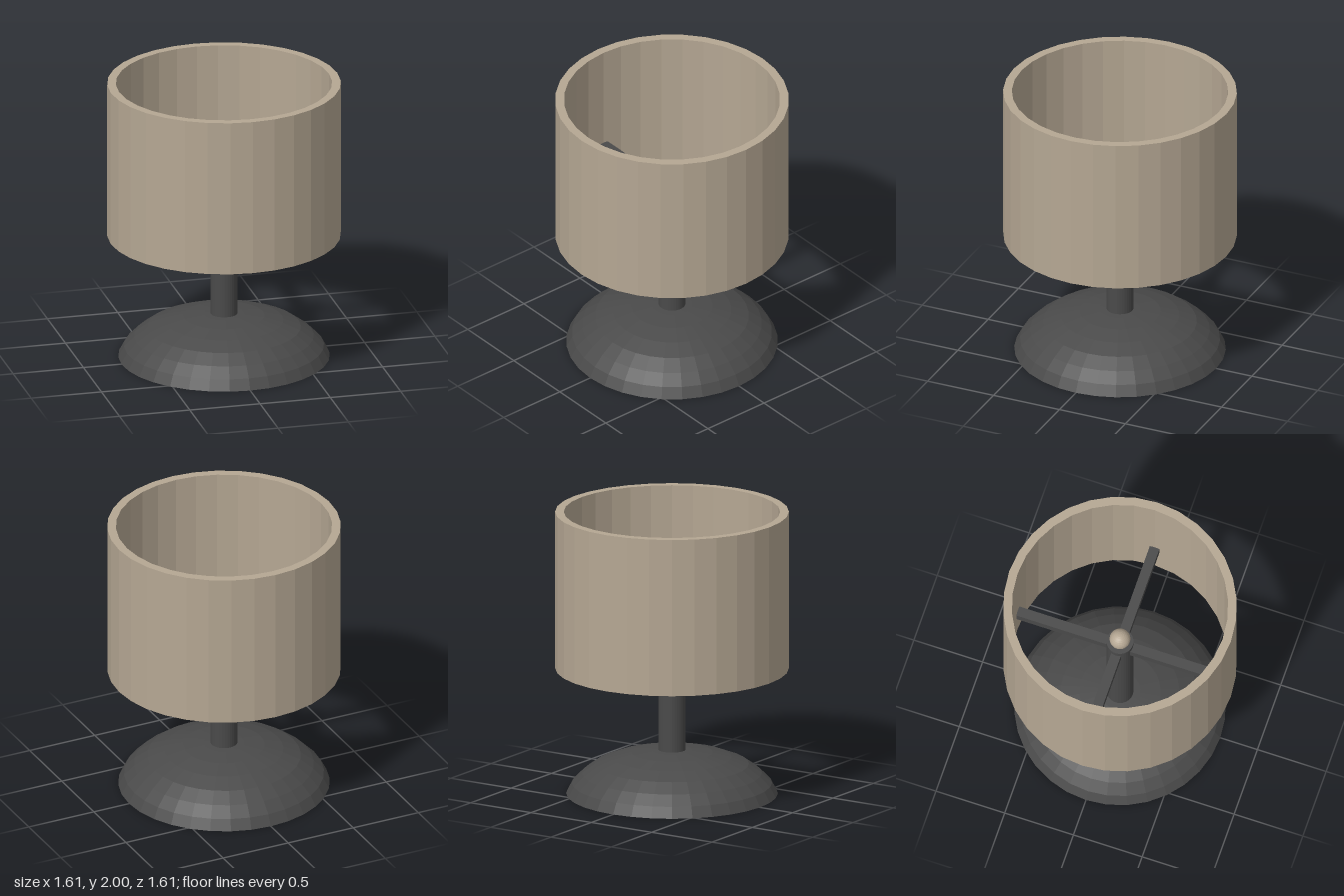
import * as THREE from 'three';

const SIDES = 32;

// Faceted shading: every face keeps its own normal
function faceted(geometry) {
  const g = geometry.toNonIndexed();
  g.computeVertexNormals();
  return g;
}

function lathe(points) {
  return new THREE.LatheGeometry(points.map(([r, y]) => new THREE.Vector2(r, y)), SIDES);
}

export function createModel() {
  const model = new THREE.Group();
  model.name = 'tableLamp';

  const linen = new THREE.MeshStandardMaterial({ color: 0xb5a793 });
  linen.name = 'linen';
  const darkMetal = new THREE.MeshStandardMaterial({ color: 0x4a4a4a });
  darkMetal.name = 'darkMetal';

  function add(name, geometry, material, y = 0) {
    const mesh = new THREE.Mesh(faceted(geometry), material);
    mesh.name = name;
    mesh.position.y = y;
    model.add(mesh);
    return mesh;
  }

  // Domed foot with a flat underside
  add('base', lathe([
    [0, 0], [0.73, 0], [0.69, 0.075], [0.62, 0.145], [0.53, 0.21],
    [0.41, 0.258], [0.28, 0.292], [0.14, 0.308], [0, 0.315],
  ]), darkMetal);

  // Upright stem
  const stemBottom = 0.28, stemTop = 1.3;
  add('stem', new THREE.CylinderGeometry(0.093, 0.093, stemTop - stemBottom, SIDES),
    darkMetal, (stemBottom + stemTop) / 2);

  // Crossed bars carrying the shade
  add('shadeBarAcross', new THREE.BoxGeometry(1.49, 0.07, 0.07), darkMetal, 1.22);
  add('shadeBarDeep', new THREE.BoxGeometry(0.07, 0.07, 1.49), darkMetal, 1.22);

  // Round bulb on top of the stem
  add('bulb', new THREE.SphereGeometry(0.072, SIDES, 16), linen, 1.35);

  // Hollow drum shade, open at both ends
  add('shade', lathe([
    [0.806, 0.89], [0.806, 2], [0.746, 2], [0.746, 0.89], [0.806, 0.89],
  ]), linen);

  return model;
}
